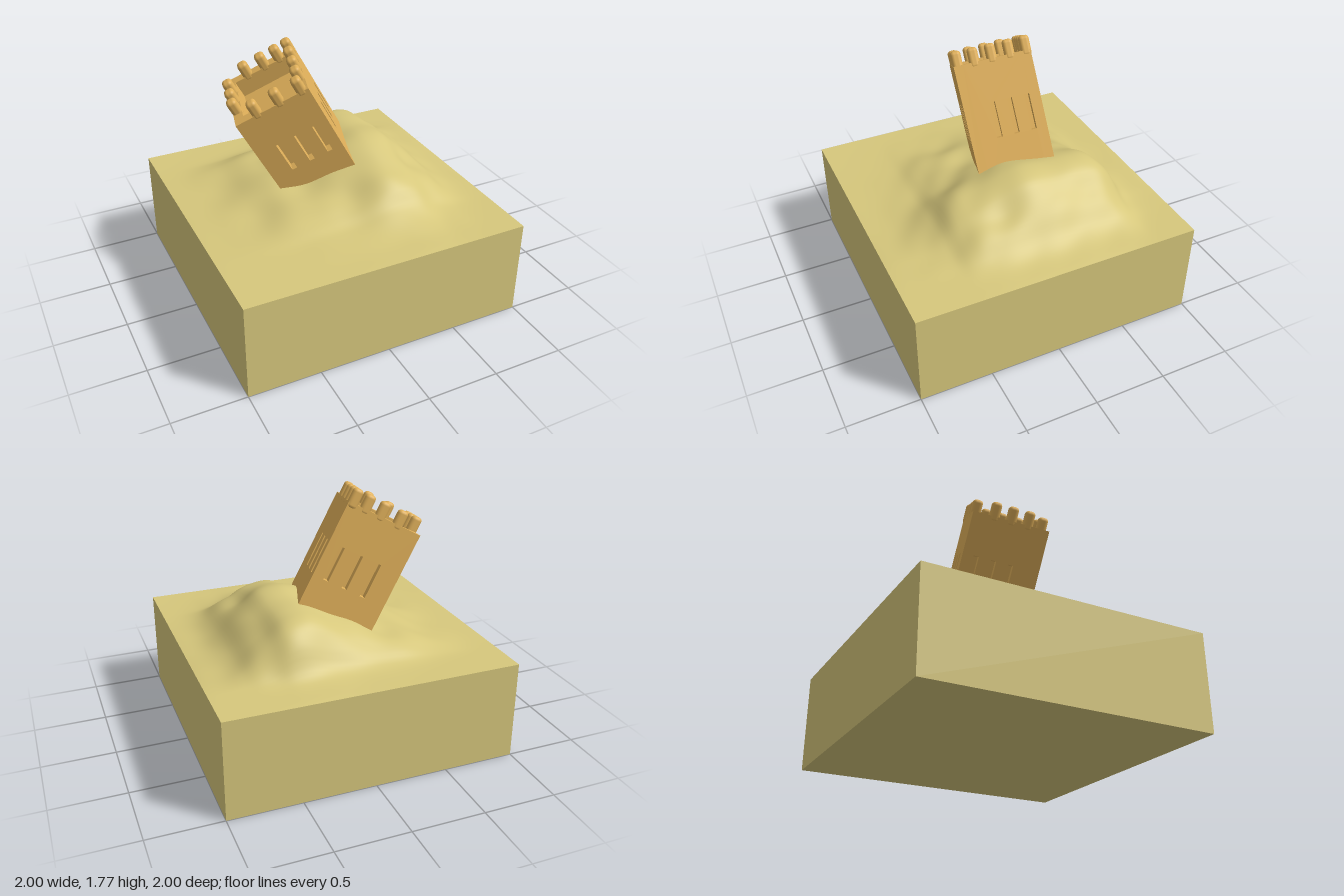
import * as THREE from 'three';
import { RoundedBoxGeometry } from 'three/addons/geometries/RoundedBoxGeometry.js';

const BASE = 0.686;
const sand = new THREE.MeshStandardMaterial({ color: 0xd6c77c });
const stone = new THREE.MeshStandardMaterial({ color: 0xe0b05a });

// Smooth interpolation through [position, height] pairs
function profile(points) {
  const curve = points.map(([x, y]) => ({ x, y }));
  return (t) => {
    let i = 0;
    while (i < curve.length - 2 && t > curve[i + 1].x) i++;
    const p = (k) => curve[Math.min(Math.max(k, 0), curve.length - 1)];
    const a = p(i), b = p(i + 1), h = b.x - a.x, s = (t - a.x) / h;
    const slope = (k) => (p(k + 1).y - p(k - 1).y) / (p(k + 1).x - p(k - 1).x);
    const s2 = s * s, s3 = s2 * s;
    return Math.max(0, (2 * s3 - 3 * s2 + 1) * a.y + (s3 - 2 * s2 + s) * h * slope(i)
      + (3 * s2 - 2 * s3) * b.y + (s3 - s2) * h * slope(i + 1));
  };
}
const across = profile([[-1, 0], [-0.8, 0.04], [-0.6, 0.14], [-0.4, 0.34], [-0.2, 0.46], [0, 0.66],
  [0.2, 0.93], [0.32, 1], [0.45, 0.93], [0.55, 0.7], [0.65, 0.5], [0.75, 0.23], [0.85, 0.08], [1, 0]]);
const along = profile([[-1, 0], [-0.8, 0.08], [-0.72, 0.24], [-0.65, 0.56], [-0.55, 0.84], [-0.4, 0.94],
  [-0.2, 0.97], [0, 1], [0.2, 0.85], [0.4, 0.68], [0.5, 0.52], [0.6, 0.28], [0.8, 0.07], [1, 0]]);

// Mound height, with gentle lumps on the slopes
function moundHeight(x, z) {
  const a = across(x), b = along(z);
  const f = a * b * (1 - 0.8 * (1 - a) * (1 - b));
  const lumps = Math.sin(9 * x + 4 * z) * Math.sin(8 * z - 3 * x + 1) + 0.5 * Math.sin(17 * x - 6 * z) * Math.sin(15 * z + 2);
  return 0.372 * f + 0.07 * f * (1 - f) * lumps;
}

function createGround() {
  const ground = new THREE.Group();
  ground.name = 'ground';
  const block = new THREE.Mesh(new THREE.BoxGeometry(2, BASE - 0.001, 2), sand);
  block.position.y = (BASE - 0.001) / 2;
  block.name = 'groundBlock';
  const geo = new THREE.PlaneGeometry(2, 2, 90, 90).rotateX(-Math.PI / 2);
  const pos = geo.attributes.position;
  for (let i = 0; i < pos.count; i++) pos.setY(i, BASE + moundHeight(pos.getX(i), pos.getZ(i)));
  geo.computeVertexNormals();
  const mound = new THREE.Mesh(geo, sand);
  mound.name = 'mound';
  ground.add(block, mound);
  return ground;
}

function createTower() {
  const tower = new THREE.Group();
  tower.name = 'tower';
  const half = 0.264, wall = 0.065, depth = 0.9, inner = half - wall;
  const slotsA = [-0.1, 0.035, 0.17];
  const slotsB = [-0.172, -0.052, 0.066, 0.185];

  // Wall slab with tall slot windows
  function addWall(name, angle, halfWidth, slots) {
    const shape = new THREE.Shape();
    shape.moveTo(-halfWidth, -depth);
    shape.lineTo(halfWidth, -depth);
    shape.lineTo(halfWidth, 0);
    shape.lineTo(-halfWidth, 0);
    for (const s of slots) {
      const hole = new THREE.Path();
      hole.moveTo(s - 0.018, -0.53);
      hole.lineTo(s - 0.018, -0.285);
      hole.lineTo(s + 0.018, -0.285);
      hole.lineTo(s + 0.018, -0.53);
      shape.holes.push(hole);
    }
    const geo = new THREE.ExtrudeGeometry(shape, { depth: wall, bevelEnabled: false });
    geo.translate(0, 0, inner).rotateY(angle);
    const mesh = new THREE.Mesh(geo, stone);
    mesh.name = name;
    tower.add(mesh);
  }
  const flip = (list) => list.map((s) => -s);
  addWall('frontWall', 0, half, slotsA);
  addWall('backWall', Math.PI, half, flip(slotsA));
  addWall('leftWall', Math.PI / 2, inner, flip(slotsB));
  addWall('rightWall', -Math.PI / 2, inner, slotsB);

  // Solid core, whose top is the sunken roof
  const core = new THREE.Mesh(new THREE.BoxGeometry(2 * inner, depth - 0.13, 2 * inner), stone);
  core.position.y = -(depth + 0.13) / 2;
  core.name = 'roofCore';
  tower.add(core);

  // Rounded merlons around the rim
  const m = 0.232;
  const merlons = [
    ...[-0.106, 0.056, 0.215].map((a) => [a, m]),
    ...[-0.1, 0.03, 0.14].map((a) => [a, -m]),
    ...[0.12, 0, -0.122, -0.236].map((b) => [m, b]),
    ...[0.115, 0, -0.117].map((b) => [-m, b]),
  ];
  const merlonGeo = new RoundedBoxGeometry(0.07, 0.14, 0.07, 3, 0.025);
  for (const [x, z] of merlons) {
    const merlon = new THREE.Mesh(merlonGeo, stone);
    merlon.position.set(x, 0.03, z);
    merlon.name = 'merlon';
    tower.add(merlon);
  }

  // Lean the tower towards the right and turn it slightly
  const u = new THREE.Vector3(0.844, 0.455, 0.283).normalize();
  const w = new THREE.Vector3(-0.234, -0.151, 0.96).cross(u).normalize();
  const v = new THREE.Vector3().crossVectors(u, w);
  tower.quaternion.setFromRotationMatrix(new THREE.Matrix4().makeBasis(u, w, v));
  tower.position.set(-0.37, 1.53, -0.115);
  return tower;
}

export function createModel() {
  const model = new THREE.Group();
  model.name = 'leaningTowerOnMound';
  model.add(createGround(), createTower());
  return model;
}
